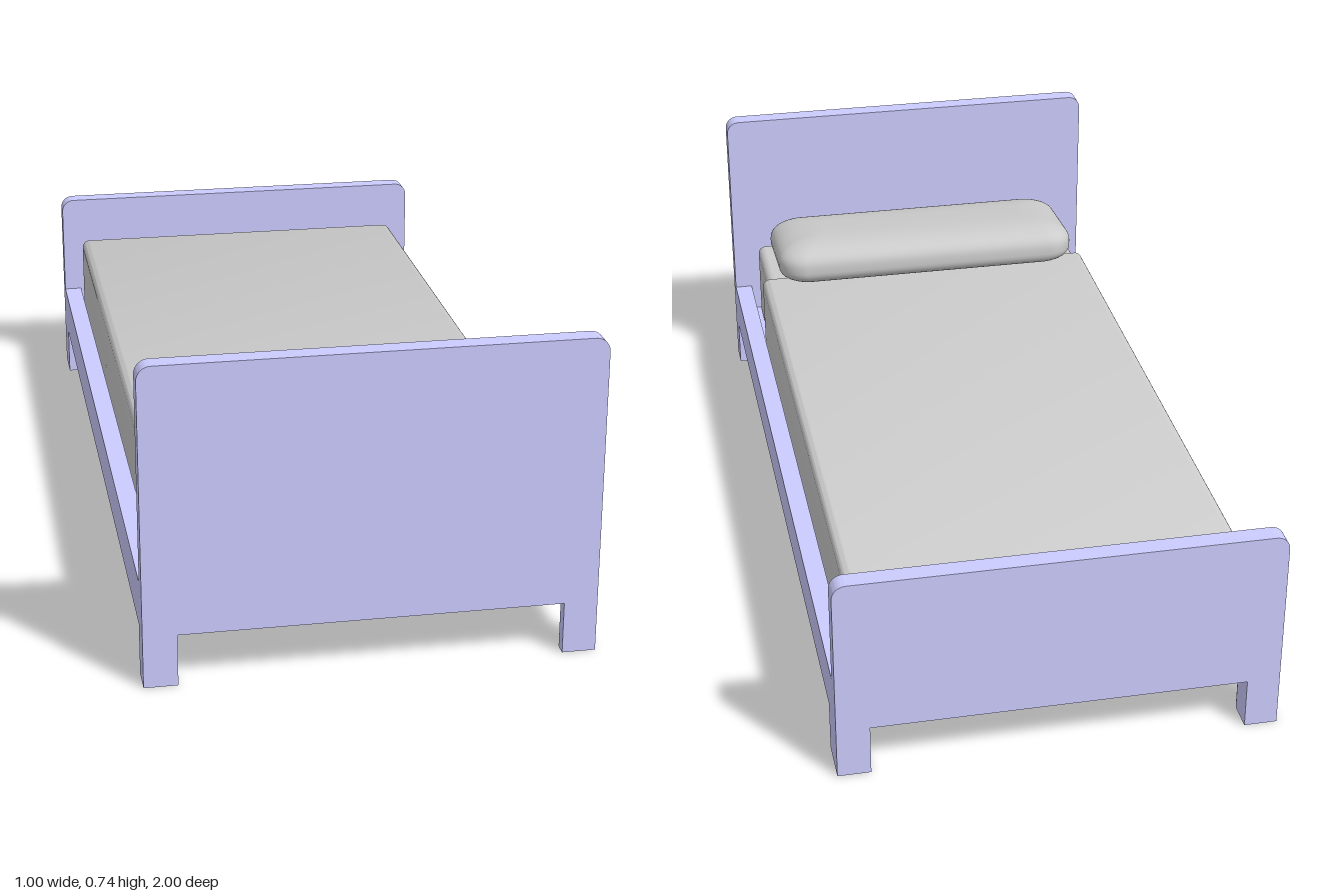
import * as THREE from 'three';
import { RoundedBoxGeometry } from 'three/addons/geometries/RoundedBoxGeometry.js';
import { ParametricGeometry } from 'three/addons/geometries/ParametricGeometry.js';
import { mergeVertices, toCreasedNormals } from 'three/addons/utils/BufferGeometryUtils.js';

const frameMat = new THREE.MeshStandardMaterial({ color: 0xccccff });
const greyMat = new THREE.MeshStandardMaterial({ color: 0xcccccc });

const W = 0.5, L = 1, T = 0.045;      // half width, half length, board thickness
const UNDER = 0.12, RAIL_TOP = 0.23;  // underside and top of the side rails

function add(group, name, geometry, material, x = 0, y = 0, z = 0) {
  const mesh = new THREE.Mesh(geometry, material);
  mesh.name = name;
  mesh.position.set(x, y, z);
  group.add(mesh);
  return mesh;
}

// End board with rounded top corners
function boardGeometry(top, r = 0.032) {
  const s = new THREE.Shape();
  s.moveTo(-W, UNDER);
  s.lineTo(W, UNDER);
  s.lineTo(W, top - r);
  s.absarc(W - r, top - r, r, 0, Math.PI / 2);
  s.lineTo(-W + r, top);
  s.absarc(-W + r, top - r, r, Math.PI / 2, Math.PI);
  s.closePath();
  const g = new THREE.ExtrudeGeometry(s, { depth: T, bevelEnabled: false, curveSegments: 8 });
  return toCreasedNormals(g, 0.6);
}

// Leg in the corner (sx, sz), with its inner corner rounded
function legGeometry(sx, sz, depth) {
  const w = 0.075, r = 0.045;
  const pts = [[W, L], [W, L - depth]];
  for (let i = 0; i <= 8; i++) {
    const a = (i / 8) * Math.PI / 2;
    pts.push([W - w + r - r * Math.sin(a), L - depth + r - r * Math.cos(a)]);
  }
  pts.push([W - w, L]);
  // Shape y becomes -z once the extrusion is stood upright
  const s = new THREE.Shape(pts.map(([x, z]) => new THREE.Vector2(x * sx, -z * sz)));
  const g = new THREE.ExtrudeGeometry(s, { depth: UNDER, bevelEnabled: false });
  g.rotateX(-Math.PI / 2);
  return toCreasedNormals(g, 0.6);
}

// Rounded slab between two z values, optionally cut flat at the front
function slabGeometry(halfW, y0, y1, z0, z1, r, cutFront) {
  const end = cutFront ? z1 + r : z1;
  const g = new RoundedBoxGeometry(halfW * 2, y1 - y0, end - z0, 4, r);
  g.translate(0, (y0 + y1) / 2, (z0 + end) / 2);
  if (!cutFront) return g;
  const p = g.attributes.position;
  for (let i = 0; i < p.count; i++) p.setZ(i, Math.min(p.getZ(i), z1));
  return toCreasedNormals(g, 0.6);
}

// Puffy cushion: rounded-rectangle rings that shrink towards top and bottom
function pillowGeometry(A, B, H, corner) {
  const around = 40;
  const ring = (u, v, target) => {
    const a = (u + 0.5 / around) * Math.PI * 2, c = Math.cos(a), s = -Math.sin(a);
    const t = (v - 0.5) * Math.PI, up = Math.sin(t);
    const inset = B * (1 - Math.pow(Math.max(Math.cos(t), 0), 0.65));
    const r = Math.max(corner - inset * 0.6, 0);
    const rr = Math.min(r, B - inset);
    const y = H * Math.sign(up) * Math.pow(Math.abs(up), up > 0 ? 0.85 : 0.65);
    target.set(
      Math.sign(c) * (A - inset - rr) + rr * c, y,
      Math.sign(s) * (B - inset - rr) + rr * s);
  };
  const g = new ParametricGeometry(ring, around, 28);
  g.deleteAttribute('uv');
  g.deleteAttribute('normal');
  const merged = mergeVertices(g, 1e-4);
  merged.computeVertexNormals();
  return merged;
}

export function createModel() {
  const bed = new THREE.Group();
  bed.name = 'bed';

  // Frame
  const frame = new THREE.Group();
  frame.name = 'frame';
  bed.add(frame);
  add(frame, 'headboard', boardGeometry(0.735), frameMat, 0, 0, L - T);
  add(frame, 'footboard', boardGeometry(0.495), frameMat, 0, 0, -L);
  add(frame, 'base', new THREE.BoxGeometry(2 * (W - T), 0.04, 2 * (L - T)), frameMat, 0, UNDER + 0.02, 0);
  for (const sx of [1, -1]) {
    const side = sx > 0 ? 'left' : 'right';
    add(frame, side + 'Rail', new THREE.BoxGeometry(T, RAIL_TOP - UNDER, 2 * (L - T)), frameMat,
      sx * (W - T / 2), (UNDER + RAIL_TOP) / 2, 0);
    add(frame, side + 'HeadLeg', legGeometry(sx, 1, 0.066), frameMat);
    add(frame, side + 'FootLeg', legGeometry(sx, -1, 0.104), frameMat);
  }

  // Bedding
  add(bed, 'mattress', slabGeometry(0.433, 0.15, 0.365, -0.935, 0.941, 0.02, false), greyMat);
  add(bed, 'blanket', slabGeometry(0.448, 0.15, 0.38, -0.95, 0.685, 0.02, true), greyMat);
  const pillow = add(bed, 'pillow', pillowGeometry(0.405, 0.166, 0.06, 0.075), greyMat, 0, 0.431, 0.753);
  pillow.rotation.x = 0.09;

  return bed;
}
